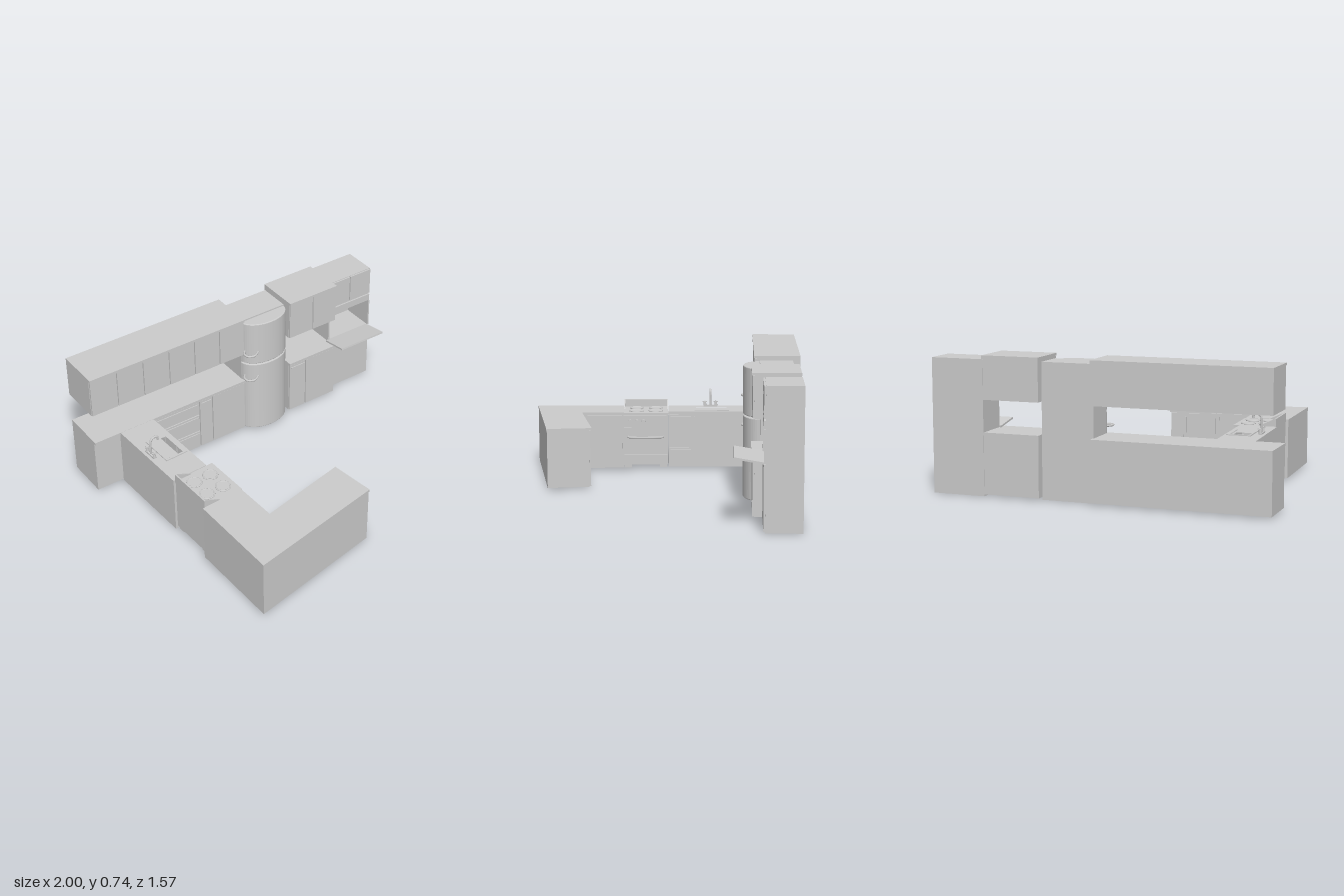
import * as THREE from 'three';

const grey = new THREE.MeshStandardMaterial({ color: 0xcccccc });

function add(parent, name, geo) {
  const mesh = new THREE.Mesh(geo, grey);
  mesh.name = name;
  parent.add(mesh);
  return mesh;
}

// Box given by its limits on each axis
function box(parent, name, x0, x1, y0, y1, z0, z1) {
  const geo = new THREE.BoxGeometry(x1 - x0, y1 - y0, z1 - z0);
  geo.translate((x0 + x1) / 2, (y0 + y1) / 2, (z0 + z1) / 2);
  return add(parent, name, geo);
}

// Upright prism over a floor plan of [x, z] points, with optional holes
function prism(parent, name, plan, y0, y1, holes = []) {
  const flip = pts => pts.map(([x, z]) => new THREE.Vector2(x, -z));
  const shape = new THREE.Shape(flip(plan));
  holes.forEach(h => shape.holes.push(new THREE.Path(flip(h))));
  const geo = new THREE.ExtrudeGeometry(shape, { depth: y1 - y0, bevelEnabled: false });
  geo.rotateX(-Math.PI / 2).translate(0, y0, 0);
  return add(parent, name, geo);
}

const rect = (x0, x1, z0, z1) => [[x0, z0], [x1, z0], [x1, z1], [x0, z1]];

function tube(parent, name, pts, r) {
  const curve = new THREE.CatmullRomCurve3(pts.map(p => new THREE.Vector3(...p)));
  return add(parent, name, new THREE.TubeGeometry(curve, 24, r, 8));
}

// Group whose x runs along the wall and whose z points out of the cabinet fronts
function run(parent, name, x, z, angle) {
  const g = new THREE.Group();
  g.name = name;
  g.position.set(x, 0, z);
  g.rotation.y = angle;
  parent.add(g);
  return g;
}

// Door or drawer front with a grip rail along its top or upright side
function front(g, name, x0, x1, y0, y1, z, grip) {
  const e = 0.003;
  box(g, name, x0 + e, x1 - e, y0 + e, y1 - e, z, z + 0.009);
  if (grip === 'top') box(g, 'gripRail', x0 + 0.01, x1 - 0.01, y1 - 0.02, y1 - 0.014, z + 0.009, z + 0.014);
  if (grip === 'side') box(g, 'gripRail', x0 + 0.01, x0 + 0.017, y0 + 0.02, y1 - 0.02, z + 0.009, z + 0.014);
}

function drawers(g, x0, x1, z, levels) {
  for (let i = 0; i + 1 < levels.length; i++) front(g, 'drawer', x0, x1, levels[i], levels[i + 1], z, 'top');
}

// Wall cupboard with a row of equal doors and a crown board
function wallCupboard(g, x0, x1, z0, depth, doors) {
  const z = z0 + depth, w = (x1 - x0) / doors;
  box(g, 'wallCupboard', x0, x1, 0.505, 0.722, z0, z - 0.014);
  for (let i = 0; i < doors; i++) front(g, 'wallCupboardDoor', x0 + i * w, x0 + (i + 1) * w, 0.505, 0.722, z - 0.014);
  box(g, 'crownBoard', x0, x1, 0.722, 0.735, z0, z);
}

function baseCabinet(g, x0, x1, z0, depth) {
  box(g, 'baseCabinet', x0, x1, 0.01, 0.32, z0, z0 + depth - 0.014);
  box(g, 'worktop', x0, x1, 0.32, 0.335, z0, z0 + depth);
}

function buildFridge(g) {
  box(g, 'fridgeBody', 0.938, 1.222, 0, 0.712, 0.04, 0.215);
  const s = new THREE.Shape();
  s.moveTo(0.943, -0.22);
  s.bezierCurveTo(0.965, -0.325, 1.195, -0.325, 1.217, -0.22);
  s.closePath();
  // Two bowed doors with softened edges
  [[0.012, 0.447], [0.453, 0.708]].forEach(([y0, y1]) => {
    const b = 0.005;
    const geo = new THREE.ExtrudeGeometry(s, {
      depth: y1 - y0 - 2 * b, bevelSize: b, bevelThickness: b, bevelSegments: 3, curveSegments: 28,
    });
    geo.rotateX(-Math.PI / 2).translate(0, y0 + b, 0);
    add(g, 'fridgeDoor', geo);
  });
  [0.37, 0.53].forEach(y => tube(g, 'fridgeHandle',
    [[0.95, y, 0.235], [0.927, y, 0.265], [0.932, y, 0.297], [0.965, y, 0.308], [1.005, y, 0.285]], 0.006));
}

function buildTallCabinet(g) {
  const x0 = 1.54, x1 = 1.83, z0 = 0.015, z1 = 0.208, zf = z1 - 0.009;
  box(g, 'tallCabinetBase', x0, x1, 0, 0.34, z0, zf);
  box(g, 'tallCabinetTop', x0, x1, 0.505, 0.715, z0, zf);
  box(g, 'nicheBack', x0, x1, 0.34, 0.505, z0, z0 + 0.01);
  box(g, 'nicheSide', x0, x0 + 0.008, 0.34, 0.505, z0, z1);
  box(g, 'nicheSide', x1 - 0.008, x1, 0.34, 0.505, z0, z1);
  const mid = (x0 + x1) / 2;
  front(g, 'tallLowerDoor', x0, x1, 0.005, 0.338, zf);
  front(g, 'tallUpperDoor', x0, mid, 0.555, 0.715, zf);
  front(g, 'tallUpperDoor', mid, x1, 0.555, 0.715, zf);
  front(g, 'tallTrim', x0, x1, 0.505, 0.55, zf);
  // Flap folded down in front of the niche
  const flap = add(g, 'foldDownFlap', new THREE.BoxGeometry(0.29, 0.01, 0.15));
  flap.position.set(1.673, 0.352, 0.277);
  flap.rotation.x = -0.17;
}

function buildStove(g) {
  const x0 = 0.004, x1 = 0.258;
  box(g, 'stoveBody', x0, x1, 0.03, 0.322, 0.015, 0.225);
  box(g, 'cooktop', x0 - 0.002, x1 + 0.002, 0.322, 0.333, 0.012, 0.242);
  box(g, 'controlPanel', x0, x1, 0.25, 0.318, 0.225, 0.236);
  box(g, 'ovenDoor', x0 + 0.003, x1 - 0.003, 0.095, 0.246, 0.225, 0.236);
  box(g, 'warmingDrawer', x0 + 0.003, x1 - 0.003, 0.03, 0.09, 0.225, 0.236);
  for (const x of [0.03, 0.232]) for (const z of [0.04, 0.205])
    box(g, 'stoveFoot', x - 0.02, x + 0.02, 0.012, 0.03, z - 0.018, z + 0.018);
  tube(g, 'ovenHandle', [[0.03, 0.195, 0.236], [0.034, 0.195, 0.262], [0.06, 0.195, 0.268],
    [0.2, 0.195, 0.268], [0.226, 0.195, 0.262], [0.23, 0.195, 0.236]], 0.005);
  for (let i = 0; i < 3; i++) {
    const knob = add(g, 'knob', new THREE.CylinderGeometry(0.01, 0.011, 0.014, 16));
    knob.rotation.x = Math.PI / 2;
    knob.position.set(0.042 + i * 0.038, 0.283, 0.242);
  }
  for (const x of [0.077, 0.187]) for (const z of [0.08, 0.178]) {
    const ring = add(g, 'burnerRing', new THREE.TorusGeometry(0.037, 0.004, 8, 32));
    ring.rotation.x = Math.PI / 2;
    ring.position.set(x, 0.335, z);
    const plate = add(g, 'burnerPlate', new THREE.CylinderGeometry(0.034, 0.034, 0.005, 32));
    plate.position.set(x, 0.334, z);
  }
  // Splashback with sloping cheeks
  box(g, 'splashback', x0, x1, 0.33, 0.374, 0.012, 0.02);
  const cheek = new THREE.Shape([[0.012, 0.33], [0.115, 0.33], [0.02, 0.374], [0.012, 0.374]]
    .map(p => new THREE.Vector2(-p[0], p[1])));
  for (const x of [x0, x1 - 0.006]) {
    const geo = new THREE.ExtrudeGeometry(cheek, { depth: 0.006, bevelEnabled: false });
    add(g, 'splashCheek', geo.rotateY(Math.PI / 2).translate(x, 0, 0));
  }
}

function buildSinkUnit(g) {
  const x0 = 0.262, x1 = 0.755, z0 = 0.005, z1 = 0.207;
  const bowl = rect(0.42, 0.597, 0.075, 0.185);
  box(g, 'sinkCabinet', x0, x1, 0.01, 0.26, z0, z1 - 0.012);
  prism(g, 'sinkSurround', rect(x0, x1, z0, z1 - 0.012), 0.26, 0.32, [bowl]);
  prism(g, 'sinkWorktop', rect(x0, x1, z0, z1), 0.32, 0.334, [bowl]);
  prism(g, 'sinkRim', rect(0.41, 0.607, 0.065, 0.195), 0.334, 0.339, [bowl]);
  const drain = add(g, 'drain', new THREE.CylinderGeometry(0.012, 0.012, 0.004, 16));
  drain.position.set(0.508, 0.262, 0.13);
  drawers(g, x0, 0.4, z1 - 0.012, [0.01, 0.125, 0.24, 0.318]);
  front(g, 'sinkDoor', 0.4, 0.51, 0.01, 0.318, z1 - 0.012, 'top');
  front(g, 'sinkDoor', 0.51, 0.62, 0.01, 0.318, z1 - 0.012, 'top');
  front(g, 'cornerPanel', 0.62, 0.735, 0.01, 0.318, z1 - 0.012);
  // Gooseneck tap with two cross handles
  tube(g, 'tapSpout', [[0.504, 0.334, 0.032], [0.504, 0.39, 0.032], [0.504, 0.424, 0.036],
    [0.504, 0.438, 0.055], [0.504, 0.431, 0.074], [0.504, 0.412, 0.078]], 0.006);
  box(g, 'tapBase', 0.465, 0.543, 0.334, 0.342, 0.022, 0.042);
  for (const x of [0.472, 0.536]) {
    const post = add(g, 'tapHandle', new THREE.CylinderGeometry(0.007, 0.009, 0.025, 12));
    post.position.set(x, 0.352, 0.032);
    box(g, 'tapLever', x - 0.013, x + 0.013, 0.36, 0.366, 0.029, 0.035);
    box(g, 'tapLever', x - 0.003, x + 0.003, 0.36, 0.366, 0.019, 0.045);
  }
}

function buildPeninsula(root, leftRun) {
  prism(root, 'peninsulaCabinet', [[-0.866, 0.216], [-0.998, 0.699], [-0.249, 0.778], [-0.216, 0.555],
    [-0.712, 0.512], [-0.649, 0.266]], 0.01, 0.322);
  prism(root, 'peninsulaWorktop', [[-0.866, 0.216], [-1, 0.7], [-0.246, 0.781], [-0.208, 0.541],
    [-0.695, 0.499], [-0.636, 0.269]], 0.322, 0.335);
  front(leftRun, 'peninsulaDoor', -0.205, -0.002, 0.01, 0.32, 0.222, 'side');
  const inner = run(root, 'peninsulaFronts', -0.208, 0.541, Math.PI - 0.086);
  front(inner, 'peninsulaPanel', 0.008, 0.08, 0.01, 0.32, -0.014);
  front(inner, 'peninsulaDoor', 0.08, 0.265, 0.01, 0.32, -0.014, 'side');
  front(inner, 'peninsulaDoor', 0.265, 0.465, 0.01, 0.32, -0.014, 'side');
}

export function createModel() {
  const root = new THREE.Group();
  root.name = 'kitchen';

  // Back wall: long cabinets, fridge, short cabinets, tall cabinet
  const back = run(root, 'backRun', -0.749, -0.787, -0.292);
  baseCabinet(back, 0, 0.944, 0, 0.245);
  wallCupboard(back, 0, 0.944, 0, 0.245, 6);
  drawers(back, 0.36, 0.647, 0.231, [0.01, 0.12, 0.23, 0.318]);
  front(back, 'baseDoor', 0.647, 0.73, 0.01, 0.318, 0.231, 'top');
  front(back, 'baseDoor', 0.73, 0.944, 0.01, 0.318, 0.231);
  buildFridge(back);
  baseCabinet(back, 1.233, 1.548, 0.018, 0.245);
  wallCupboard(back, 1.233, 1.548, 0.018, 0.245, 2);
  front(back, 'baseDoor', 1.233, 1.345, 0.01, 0.318, 0.249, 'top');
  front(back, 'baseDoor', 1.345, 1.548, 0.01, 0.318, 0.249);
  buildTallCabinet(back);

  // Side wall: stove and sink, ending in the peninsula
  const left = run(root, 'sideRun', -0.866, 0.216, 1.318);
  buildStove(left);
  buildSinkUnit(left);
  buildPeninsula(root, left);
  return root;
}
